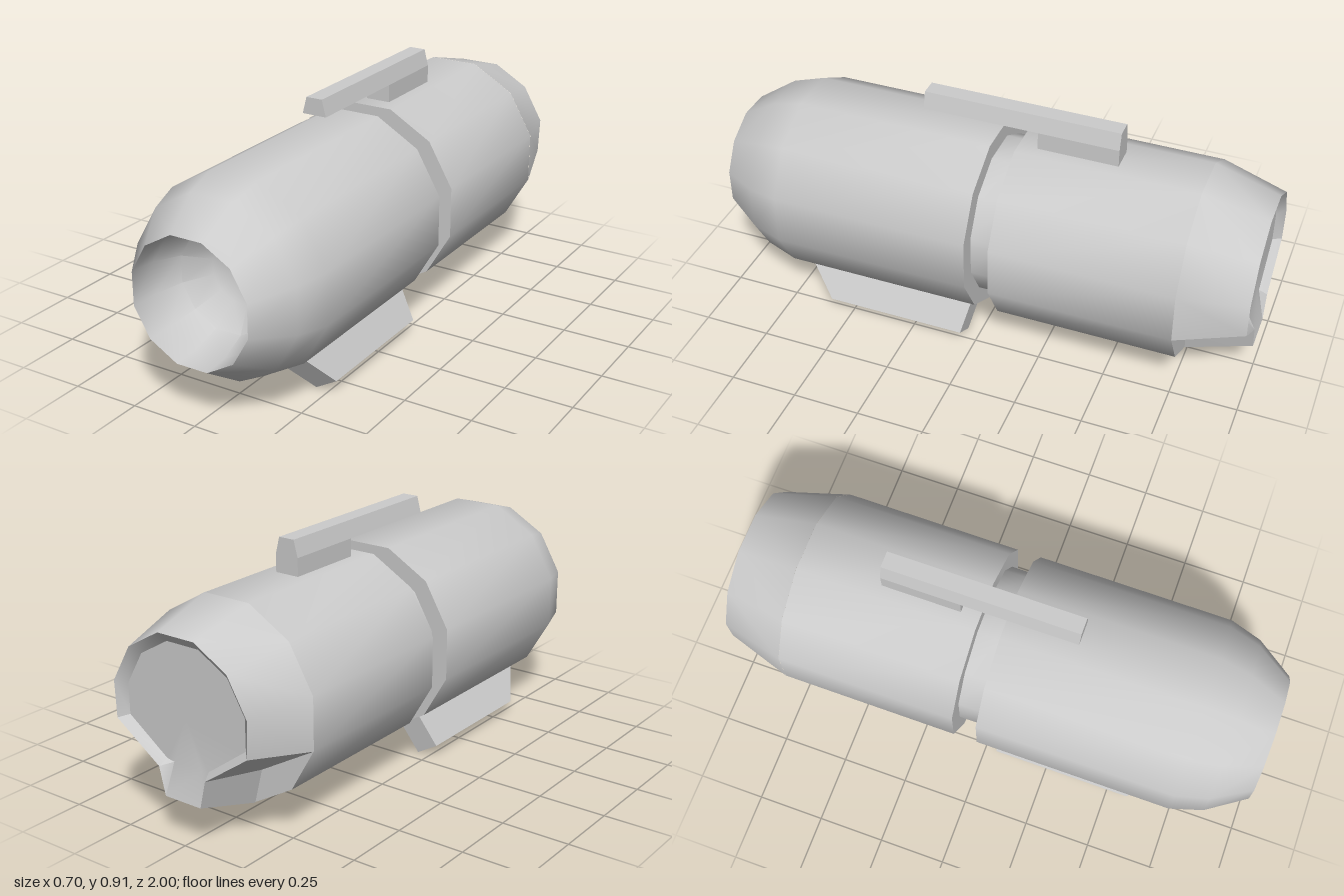
import * as THREE from 'three';
import { toCreasedNormals } from 'three/addons/utils/BufferGeometryUtils.js';

const AXIS_Y = 0.44;
const SIDES = 12;
const R = 0.362;

const material = new THREE.MeshStandardMaterial({ color: 0xcccccc });

function addMesh(parent, name, geometry) {
  const mesh = new THREE.Mesh(toCreasedNormals(geometry, 0.6), material);
  mesh.name = name;
  parent.add(mesh);
  return mesh;
}

// Twelve-sided turned part along z, from [radius, z] pairs in rising z
function turned(profile) {
  const points = profile.map(([r, z]) => new THREE.Vector2(r, z));
  return new THREE.LatheGeometry(points, SIDES, Math.PI / SIDES).rotateX(Math.PI / 2);
}

// Skin over rings of equal point count, rings running towards -z
function loft(rings) {
  const n = rings[0].length;
  const index = [];
  for (let i = 0; i < rings.length - 1; i++) {
    for (let j = 0; j < n; j++) {
      const a = i * n + j, b = i * n + (j + 1) % n;
      index.push(a, a + n, b, b, a + n, b + n);
    }
  }
  const geometry = new THREE.BufferGeometry();
  geometry.setAttribute('position', new THREE.Float32BufferAttribute(rings.flat(2), 3));
  geometry.setIndex(index);
  return geometry;
}

// Right half of a section mirrored into a counter-clockwise ring
function mirroredRing(half, z) {
  const right = half.map(([x, y]) => [x, y, z]);
  const left = half.map(([x, y]) => [-x, y, z]).reverse();
  return [...right, ...left];
}

// Box whose top or ends may differ from its base; corners moved by a rule
function shapedBox(rule) {
  const geometry = new THREE.BoxGeometry(2, 2, 2);
  const p = geometry.attributes.position;
  for (let i = 0; i < p.count; i++) {
    p.setXYZ(i, ...rule(p.getX(i), p.getY(i), p.getZ(i)));
  }
  return geometry;
}

export function createModel() {
  const model = new THREE.Group();
  model.name = 'model';
  const body = new THREE.Group();
  body.name = 'body';
  body.position.y = AXIS_Y;
  model.add(body);

  // Front barrel with rounded nose and hollow mouth
  addMesh(body, 'frontBarrel', turned([
    [0, 0], [R, 0], [R, 0.74], [0.326, 0.86], [0.233, 1],
    [0.225, 0.9], [0.19, 0.8], [0.11, 0.73], [0, 0.7],
  ]));

  // Narrow neck and rear barrel
  addMesh(body, 'neck', turned([[0.295, -0.12], [0.295, 0.02]]));
  addMesh(body, 'rearBarrel', turned([[0, -0.76], [R, -0.76], [R, -0.09], [0, -0.09]]));

  // Tapered tail: notched on both lower sides, keel between, dished end
  const upper = (a) => [15, 45, 75].map((deg) => {
    const t = THREE.MathUtils.degToRad(deg);
    const r = a / Math.cos(Math.PI / SIDES);
    return [r * Math.cos(t), r * Math.sin(t)];
  });
  const start = [[0.097, -0.35], [0.13, -0.22], [0.35, -0.095], ...upper(0.35)];
  const end = [[0.076, -0.28], [0.1, -0.18], [0.28, -0.055], ...upper(0.285)];
  const dish = [[0.06, -0.165], [0.09, -0.16], [0.25, -0.045], ...upper(0.25)];
  addMesh(body, 'tail', loft([
    mirroredRing(start, -0.76),
    mirroredRing(end, -1),
    mirroredRing(dish, -0.97),
    mirroredRing(dish.map(() => [0, 0]), -0.97),
  ]));

  // Two splayed feet, raked at the front
  for (const side of [1, -1]) {
    const foot = addMesh(body, side > 0 ? 'leftFoot' : 'rightFoot', shapedBox((x, y, z) => {
      const outer = y < 0;
      const front = outer ? 0.58 : 0.72;
      const back = outer ? 0.05 : 0.02;
      return [x * 0.0465, outer ? -0.479 : -0.3, z > 0 ? front : back];
    }));
    foot.rotation.z = side * Math.PI / 6;
  }

  // Top rail on its post
  addMesh(model, 'railPost', shapedBox((x, y, z) =>
    [x * 0.047, y > 0 ? 0.855 : 0.77, z > 0 ? -0.16 : -0.455]));
  addMesh(model, 'topRail', shapedBox((x, y, z) =>
    [x * (y > 0 ? 0.031 : 0.047), y > 0 ? 0.916 : 0.855, z > 0 ? 0.27 : -0.455]));

  return model;
}
